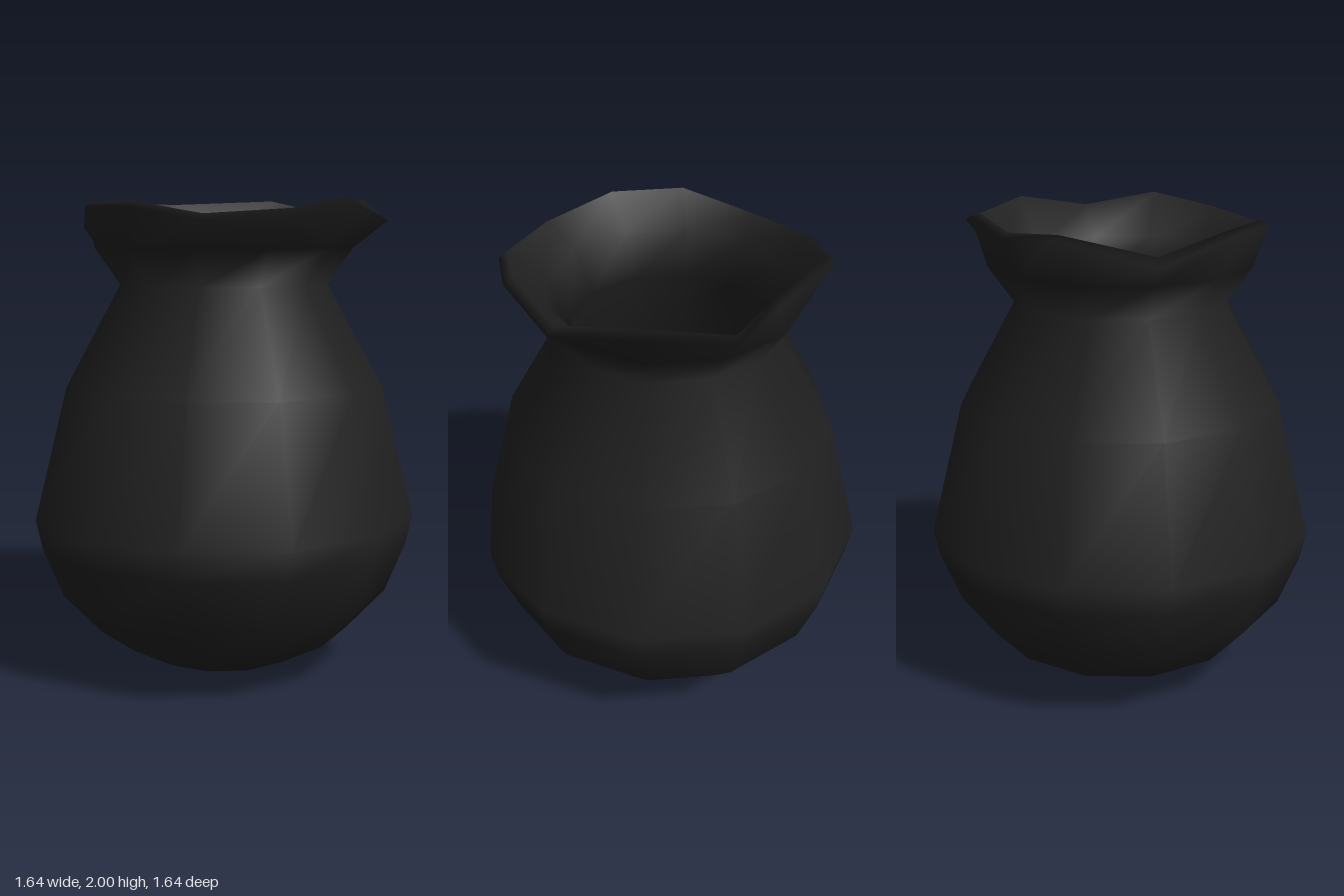
import * as THREE from 'three';

const SIDES = 12;

// Closed skin through a list of rings, each an array of SIDES points
function skin(rings) {
  const positions = rings.flat(2);
  const index = [];
  for (let i = 0; i < rings.length - 1; i++) {
    for (let j = 0; j < SIDES; j++) {
      const k = (j + 1) % SIDES;
      const a = i * SIDES + j, b = i * SIDES + k;
      const c = b + SIDES, d = a + SIDES;
      if (i > 0) index.push(a, d, b);
      if (i < rings.length - 2) index.push(b, d, c);
      else index.push(a, d, b);
      if (i === 0) index.push(b, d, c);
    }
  }
  const geometry = new THREE.BufferGeometry();
  geometry.setAttribute('position', new THREE.Float32BufferAttribute(positions, 3));
  geometry.setIndex(index);
  geometry.computeVertexNormals();
  return geometry;
}

function roundRing([radius, y]) {
  return Array.from({ length: SIDES }, (_, j) => {
    const a = (j / SIDES) * Math.PI * 2;
    return [radius * Math.cos(a), y, radius * Math.sin(a)];
  });
}

export function createModel() {
  const group = new THREE.Group();
  const cloth = new THREE.MeshStandardMaterial({ color: 0x202020 });
  cloth.name = 'black cloth';

  // Outside of the sack, from the base to the flare above the neck: radius, height
  const outside = [
    [0, 0], [0.095, 0], [0.33, 0.045], [0.545, 0.165], [0.71, 0.345], [0.795, 0.56],
    [0.82, 0.68], [0.68, 1.23], [0.445, 1.65], [0.55, 1.8],
  ];

  // Inside, from the flare down to the floor
  const inside = [
    [0.5, 1.815], [0.405, 1.65], [0.64, 1.22], [0.78, 0.68], [0.755, 0.57],
    [0.675, 0.37], [0.52, 0.2], [0.31, 0.085], [0.09, 0.04], [0, 0.04],
  ];

  // Uneven mouth: x, z, height, drop of the outer lip
  const mouth = [
    [0.69, 0, 1.94, 0.03], [0.59, 0.31, 2, 0.03], [0.39, 0.54, 1.955, 0.03],
    [0.05, 0.635, 1.935, 0.025], [-0.27, 0.54, 1.985, 0.02], [-0.5, 0.32, 1.985, 0.02],
    [-0.61, 0, 1.915, 0.035], [-0.45, -0.36, 1.985, 0.015], [-0.34, -0.54, 1.985, 0.02],
    [0.12, -0.595, 2, 0.015], [0.34, -0.59, 1.955, 0.015], [0.59, -0.33, 2, 0.03],
  ];
  const outerLip = mouth.map(([x, z, y, drop]) => [x, y - drop, z]);
  const innerLip = mouth.map(([x, z, y]) => {
    const s = 1 - 0.035 / Math.hypot(x, z);
    return [x * s, y, z * s];
  });

  const sack = new THREE.Mesh(
    skin([...outside.map(roundRing), outerLip, innerLip, ...inside.map(roundRing)]),
    cloth
  );
  sack.name = 'sack';
  group.add(sack);
  return group;
}
